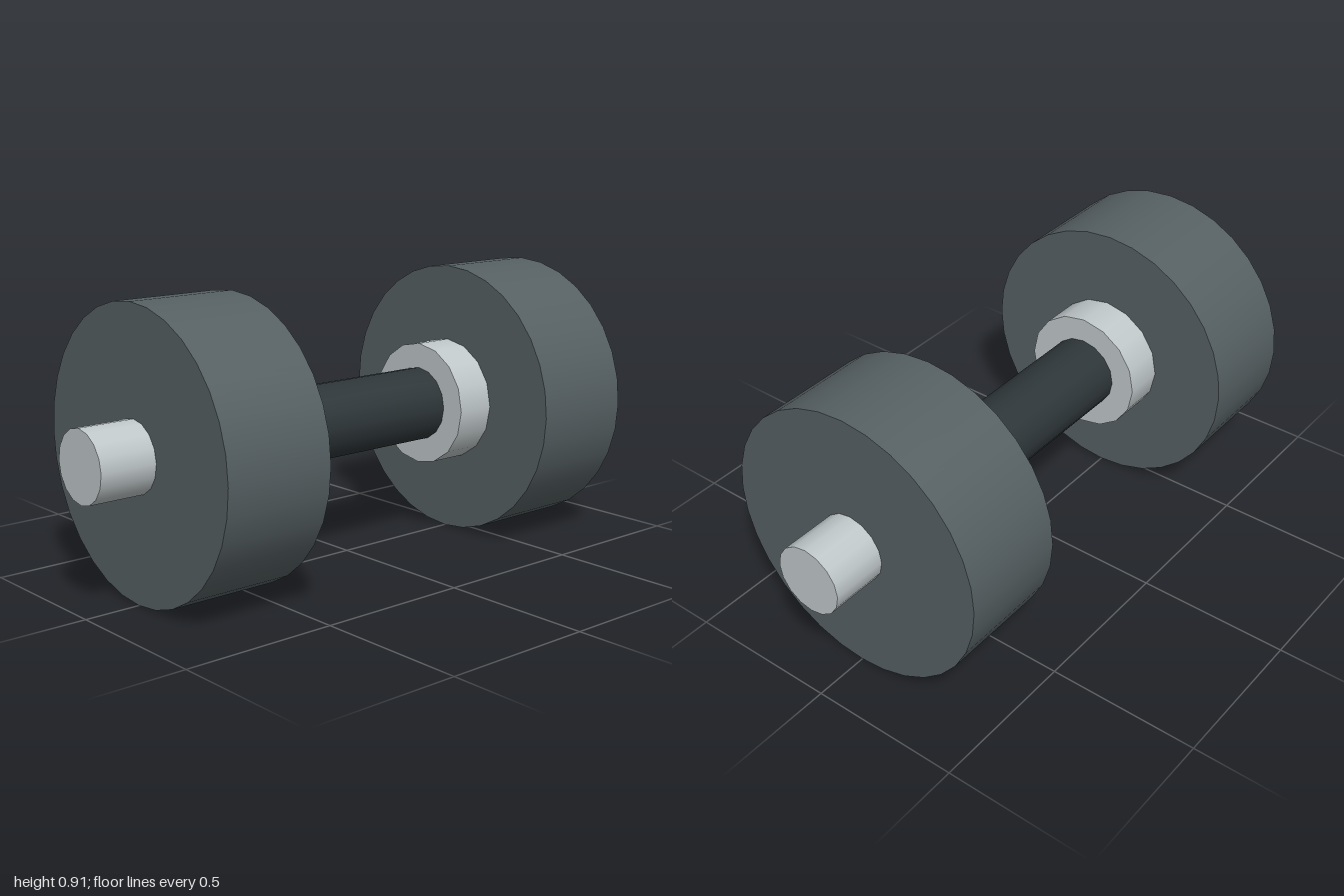
import * as THREE from 'three';

const AXIS_Y = 0.454;

// Cylinder lying along x, from x0 to x1
function bar(name, x0, x1, radius, sides, material) {
  const geometry = new THREE.CylinderGeometry(radius, radius, x1 - x0, sides);
  geometry.rotateZ(-Math.PI / 2);
  const mesh = new THREE.Mesh(geometry, material);
  mesh.name = name;
  mesh.position.set((x0 + x1) / 2, AXIS_Y, 0);
  return mesh;
}

export function createModel() {
  const iron = new THREE.MeshStandardMaterial({ color: 0x566063 });
  const steel = new THREE.MeshStandardMaterial({ color: 0xc0c8ca });
  const rubber = new THREE.MeshStandardMaterial({ color: 0x2e3639 });

  const model = new THREE.Group();
  model.name = 'dumbbell';

  // Steel bar running the full length, with a dark grip in the middle
  model.add(bar('steelBar', -1, 1, 0.113, 16, steel));
  model.add(bar('grip', -0.32, 0.32, 0.122, 16, rubber));

  // Collar and weight plate at each end
  for (const [side, s] of [['left', 1], ['right', -1]]) {
    const span = (a, b) => (s > 0 ? [a, b] : [-b, -a]);
    model.add(bar(side + 'Collar', ...span(0.32, 0.46), 0.204, 16, steel));
    model.add(bar(side + 'WeightPlate', ...span(0.455, 0.817), AXIS_Y, 32, iron));
  }
  return model;
}
